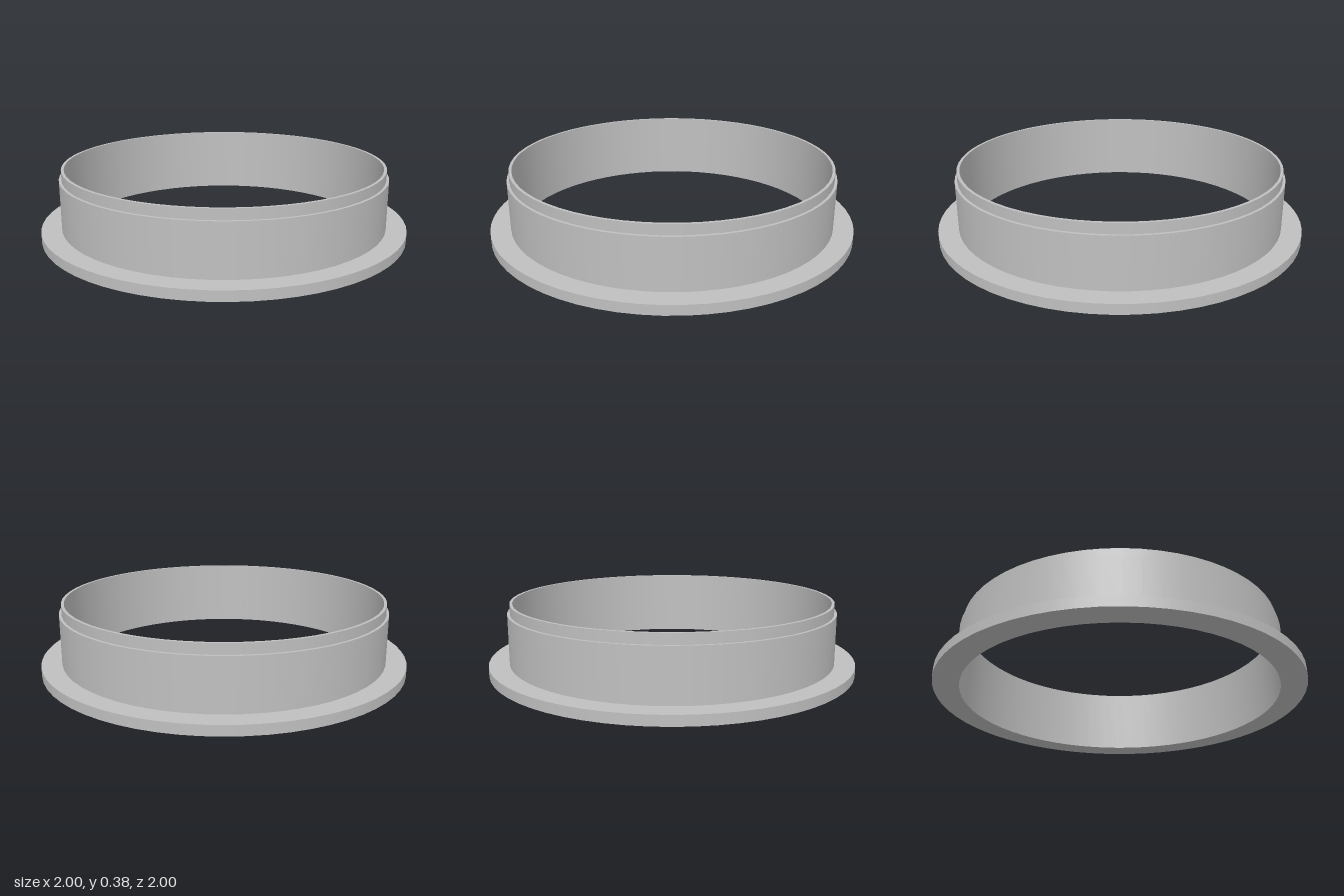
import * as THREE from 'three';
import { mergeGeometries } from 'three/addons/utils/BufferGeometryUtils.js';

const SEGMENTS = 64;
const BORE = 0.863, LIP = 0.878, BODY = 0.892, FLANGE = 1;
const FLANGE_TOP = 0.053, BODY_TOP = 0.322, TOP = 0.375;

// Revolves each profile edge on its own, so corners stay sharp and walls smooth
function revolve(profile) {
  const bands = [];
  for (let i = 0; i < profile.length - 1; i++) {
    const edge = [profile[i], profile[i + 1]].map(([r, y]) => new THREE.Vector2(r, y));
    bands.push(new THREE.LatheGeometry(edge, SEGMENTS));
  }
  return mergeGeometries(bands);
}

export function createModel() {
  const model = new THREE.Group();
  model.name = 'flangedRing';

  const metal = new THREE.MeshStandardMaterial({ color: 0xc0c0c0 });
  metal.name = 'lightGrey';

  // Profiles run counter-clockwise so the surfaces face outwards
  const parts = {
    flange: [[BORE, 0], [FLANGE, 0], [FLANGE, FLANGE_TOP], [BODY, FLANGE_TOP]],
    collar: [[BODY, FLANGE_TOP], [BODY, BODY_TOP], [LIP, BODY_TOP]],
    steppedLip: [[LIP, BODY_TOP], [LIP, TOP], [BORE, TOP]],
    bore: [[BORE, TOP], [BORE, 0]],
  };

  for (const [name, profile] of Object.entries(parts)) {
    const mesh = new THREE.Mesh(revolve(profile), metal);
    mesh.name = name;
    model.add(mesh);
  }
  return model;
}
